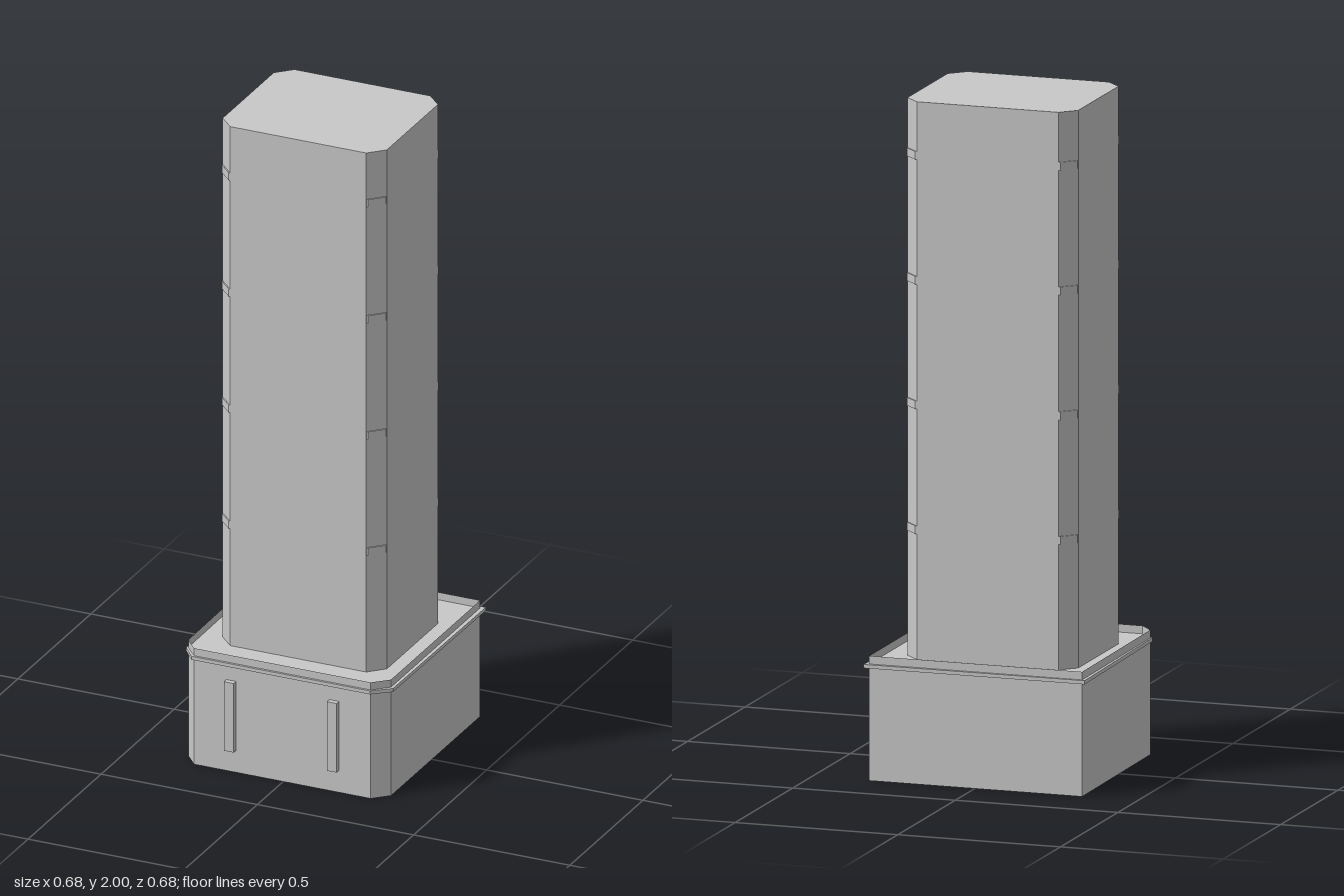
import * as THREE from 'three';

// Plan outlines as [x, z], running from the back right corner round to the front
const wallPlan = [[-0.33, -0.33], [0.325, -0.33], [0.325, 0.28], [0.28, 0.323], [-0.285, 0.323], [-0.325, 0.277]];
const ledgePlan = [[-0.34, -0.338], [0.338, -0.341], [0.334, 0.286], [0.281, 0.33], [-0.29, 0.33], [-0.33, 0.281]];

// Rectangle with cut corners
function cutRect(x0, x1, z0, z1, c) {
  return [[x0 + c, z0], [x1 - c, z0], [x1, z0 + c], [x1, z1 - c],
    [x1 - c, z1], [x0 + c, z1], [x0, z1 - c], [x0, z0 + c]];
}

// Solid prism standing on a plan outline
function prism(plan, y0, y1) {
  const shape = new THREE.Shape(plan.map(([x, z]) => new THREE.Vector2(x, -z)));
  const geo = new THREE.ExtrudeGeometry(shape, { depth: y1 - y0, bevelEnabled: false });
  return geo.rotateX(-Math.PI / 2).translate(0, y0, 0);
}

// Thin upright sheet following a plan outline, open above and below
function sheet(plan, y0, y1) {
  const pos = [];
  plan.forEach(([ax, az], i) => {
    const [bx, bz] = plan[(i + 1) % plan.length];
    pos.push(ax, y0, az, ax, y1, az, bx, y1, bz);
    pos.push(ax, y0, az, bx, y1, bz, bx, y0, bz);
  });
  const geo = new THREE.BufferGeometry();
  geo.setAttribute('position', new THREE.Float32BufferAttribute(pos, 3));
  geo.computeVertexNormals();
  return geo;
}

export function createModel() {
  const group = new THREE.Group();
  const concrete = new THREE.MeshStandardMaterial({ color: 0xc8c8c8, side: THREE.DoubleSide });
  concrete.name = 'concrete';

  const add = (name, geo) => {
    const mesh = new THREE.Mesh(geo, concrete);
    mesh.name = name;
    group.add(mesh);
    return mesh;
  };

  // Podium: open shell, roof slab projecting as a ledge, low parapet
  add('podiumWalls', sheet(wallPlan, 0, 0.336));
  add('podiumRoof', prism(ledgePlan, 0.335, 0.346));
  add('parapet', sheet(wallPlan, 0.346, 0.37));

  // Upright fins through the front wall
  for (const x of [-0.166, 0.163]) {
    add('frontFin', new THREE.BoxGeometry(0.031, 0.22, 0.035)).position.set(x, 0.18, 0.322);
  }

  // Tower shaft with cut corners
  add('tower', prism(cutRect(-0.265, 0.26, -0.225, 0.215, 0.045), 0.34, 2));

  // Slight bands that stand out only at the cut corners
  for (const y of [0.73, 1.1, 1.47, 1.84]) {
    add('cornerBand', prism(cutRect(-0.2645, 0.2595, -0.2245, 0.2145, 0.039), y - 0.012, y + 0.012));
  }
  return group;
}
